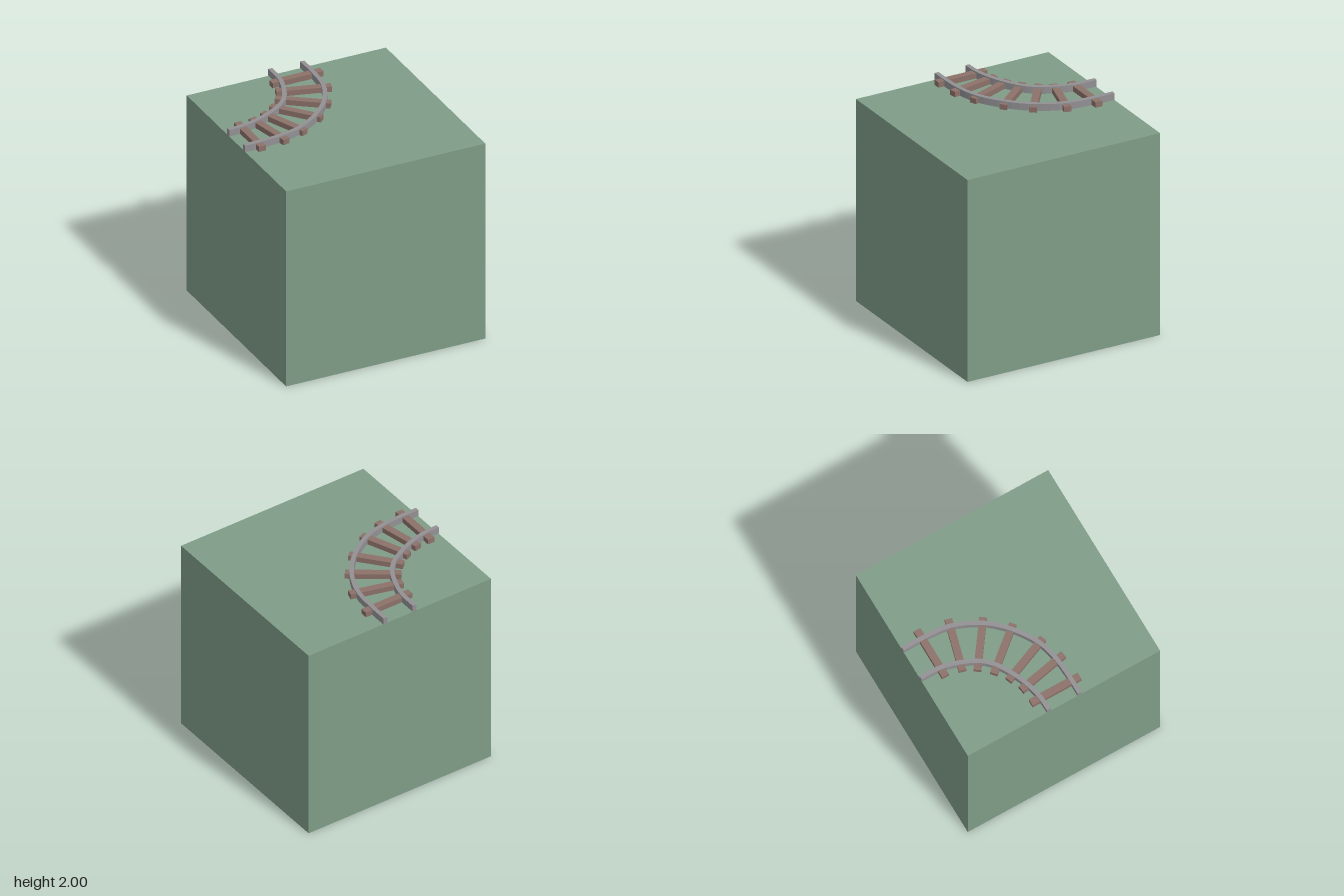
import * as THREE from 'three';

const CUBE = 1.93;

function material(color) {
  return new THREE.MeshStandardMaterial({ color, flatShading: true });
}

// Rail: a strip offset to both sides of a ground curve, extruded upward
function makeRail(name, points, mat) {
  const curve = new THREE.CatmullRomCurve3(points.map(([x, z]) => new THREE.Vector3(x, 0, z)));
  const half = 0.02, steps = 28, sideA = [], sideB = [];
  for (let i = 0; i <= steps; i++) {
    const p = curve.getPointAt(i / steps);
    const t = curve.getTangentAt(i / steps);
    sideA.push(new THREE.Vector2(p.x - t.z * half, -(p.z + t.x * half)));
    sideB.unshift(new THREE.Vector2(p.x + t.z * half, -(p.z - t.x * half)));
  }
  const geo = new THREE.ExtrudeGeometry(new THREE.Shape([...sideA, ...sideB]), { depth: 0.064, bevelEnabled: false });
  geo.rotateX(-Math.PI / 2);
  // slight rise toward the middle of the bend
  const pos = geo.attributes.position;
  for (let i = 0; i < pos.count; i++) {
    const along = (pos.getX(i) - pos.getZ(i)) / 1.12;
    pos.setY(i, pos.getY(i) + 0.006 * Math.max(0, 1 - along * along));
  }
  geo.computeVertexNormals();
  const rail = new THREE.Mesh(geo, mat);
  rail.name = name;
  rail.position.y = CUBE;
  return rail;
}

export function createModel() {
  const model = new THREE.Group();
  model.name = 'curvedTrackBlock';

  // Ground block
  const block = new THREE.Mesh(new THREE.BoxGeometry(CUBE, CUBE, CUBE), material(0x7f9c87));
  block.name = 'groundBlock';
  block.position.y = CUBE / 2;
  model.add(block);

  // Rails
  const railMat = material(0x929093);
  model.add(makeRail('outerRail', [
    [0.155, -0.968], [0.155, -0.77], [0.13, -0.51], [0.005, -0.24],
    [-0.17, -0.055], [-0.39, 0.085], [-0.6, 0.14], [-0.83, 0.155], [-0.968, 0.155],
  ], railMat));
  model.add(makeRail('innerRail', [
    [-0.155, -0.968], [-0.16, -0.77], [-0.205, -0.605], [-0.275, -0.455],
    [-0.37, -0.35], [-0.52, -0.26], [-0.66, -0.2], [-0.83, -0.16], [-0.968, -0.153],
  ], railMat));

  // Sleepers: x, z, turn in degrees
  const sleepers = new THREE.Group();
  sleepers.name = 'sleepers';
  const sleeperGeo = new THREE.BoxGeometry(0.49, 0.05, 0.067);
  const sleeperMat = material(0x8c7169);
  [
    [0, -0.77, 0], [-0.04, -0.55, 15.5], [-0.14, -0.36, 36], [-0.28, -0.21, 50],
    [-0.46, -0.09, 68], [-0.635, -0.025, 78.5], [-0.83, -0.01, 90],
  ].forEach(([x, z, turn], i) => {
    const sleeper = new THREE.Mesh(sleeperGeo, sleeperMat);
    sleeper.name = `sleeper${i + 1}`;
    sleeper.position.set(x, 1.961, z);
    sleeper.rotation.y = -THREE.MathUtils.degToRad(turn);
    sleepers.add(sleeper);
  });
  model.add(sleepers);

  return model;
}
